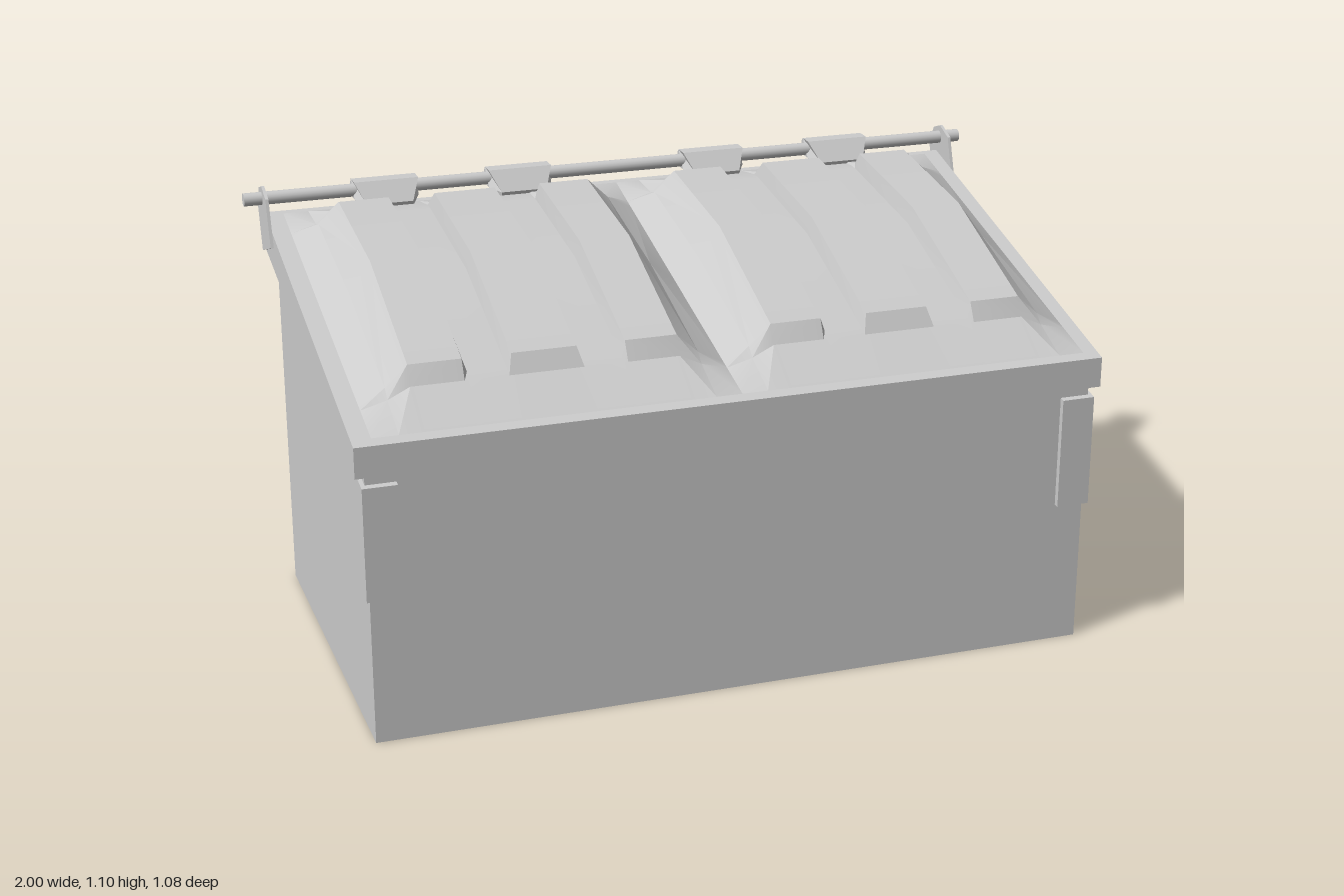
import * as THREE from 'three';
import { toCreasedNormals } from 'three/addons/utils/BufferGeometryUtils.js';

const material = new THREE.MeshStandardMaterial({ color: 0xcccccc });
const sheet = new THREE.MeshStandardMaterial({ color: 0xcccccc, side: THREE.DoubleSide });

function add(group, name, geometry, x = 0, mat = material) {
  const mesh = new THREE.Mesh(geometry, mat);
  mesh.name = name;
  mesh.position.x = x;
  group.add(mesh);
  return mesh;
}

// Side profile of [z, y] points, extruded along x and centred on x = 0
function sideExtrude(points, width) {
  const shape = new THREE.Shape(points.map(([z, y]) => new THREE.Vector2(z, y)));
  const g = new THREE.ExtrudeGeometry(shape, { depth: width, bevelEnabled: false });
  return g.translate(0, 0, -width / 2).rotateY(-Math.PI / 2);
}

// Pressed lid: a hipped sheet with three raised ribs
function lidGeometry() {
  // [x, share of the crown height, on a rib]
  const half = [[0.08, 1, 1], [0.092, 1, 0], [0.188, 1, 0], [0.2, 1, 1], [0.33, 1, 1], [0.385, 0.4, 1], [0.45, 0, 0]];
  const columns = [...half.map(([x, f, r]) => [-x, f, r]).reverse(), ...half];
  // [z, height between ribs, height on ribs]
  const rows = [
    [0.525, 0.778, 0.778], [0.415, 0.85, 0.85], [0.39, 0.862, 0.896], [0.02, 0.993, 1.035],
    [-0.34, 1.043, 1.083], [-0.37, 1.044, 1.05], [-0.47, 1.027, 1.027],
  ];
  const positions = [], index = [], n = columns.length;
  rows.forEach(([z, low, high], j) => columns.forEach(([x, f, rib], i) => {
    const base = 0.778 + 0.25 * (0.525 - z);
    positions.push(x, base + f * ((rib ? high : low) - base), z);
    if (i === n - 1 || j === rows.length - 1) return;
    const a = j * n + i, b = a + 1, d = a + n, c = d + 1;
    // Diagonals run out to the corners to form the hips
    if ((i < n / 2 - 1) === (j < 3)) index.push(a, b, c, a, c, d);
    else index.push(a, b, d, b, c, d);
  }));
  const g = new THREE.BufferGeometry();
  g.setAttribute('position', new THREE.Float32BufferAttribute(positions, 3));
  g.setIndex(index);
  return toCreasedNormals(g, 0.45);
}

// Hinge knuckle that narrows towards the lid
function hingeGeometry() {
  const g = sideExtrude([[-0.505, 1.05], [-0.505, 1.085], [-0.495, 1.096], [-0.455, 1.096],
    [-0.415, 1.045], [-0.42, 1.03], [-0.455, 1.05]], 0.17);
  const p = g.attributes.position;
  for (let i = 0; i < p.count; i++) if (p.getZ(i) > -0.44) p.setX(i, p.getX(i) * 0.72);
  g.computeVertexNormals();
  return g;
}

export function createModel() {
  const group = new THREE.Group();

  // Container with sloping top, and the rim around it
  add(group, 'body', sideExtrude([[0.525, 0], [0.525, 0.72], [-0.48, 0.95], [-0.48, 0]], 1.84));
  add(group, 'rim', sideExtrude([[0.54, 0.688], [0.54, 0.765], [-0.492, 1.028], [-0.492, 0.925]], 1.89));

  // Hinge rod across the back
  const rod = new THREE.CylinderGeometry(0.017, 0.017, 2, 16).rotateZ(Math.PI / 2).translate(0, 1.07, -0.478);
  add(group, 'hingeRod', rod);

  const lid = lidGeometry();
  const hinge = hingeGeometry();
  const bracket = sideExtrude([[-0.378, 0.965], [-0.418, 1.083], [-0.472, 1.104], [-0.512, 1.09],
    [-0.54, 1.042], [-0.502, 0.924]], 0.008);
  const pocket = sideExtrude([[0.54, 0.375], [0.54, 0.662], [0.408, 0.685], [0.408, 0.39]], 0.085);

  for (const s of [-1, 1]) {
    const side = s > 0 ? 'left' : 'right';
    add(group, side + 'Lid', lid, s * 0.45, sheet);
    add(group, side + 'RodBracket', bracket, s * 0.949);
    add(group, side + 'CornerPocket', pocket, s * 0.8875);
    add(group, side + 'InnerHinge', hinge, s * 0.27);
    add(group, side + 'OuterHinge', hinge, s * 0.63);
  }
  return group;
}
